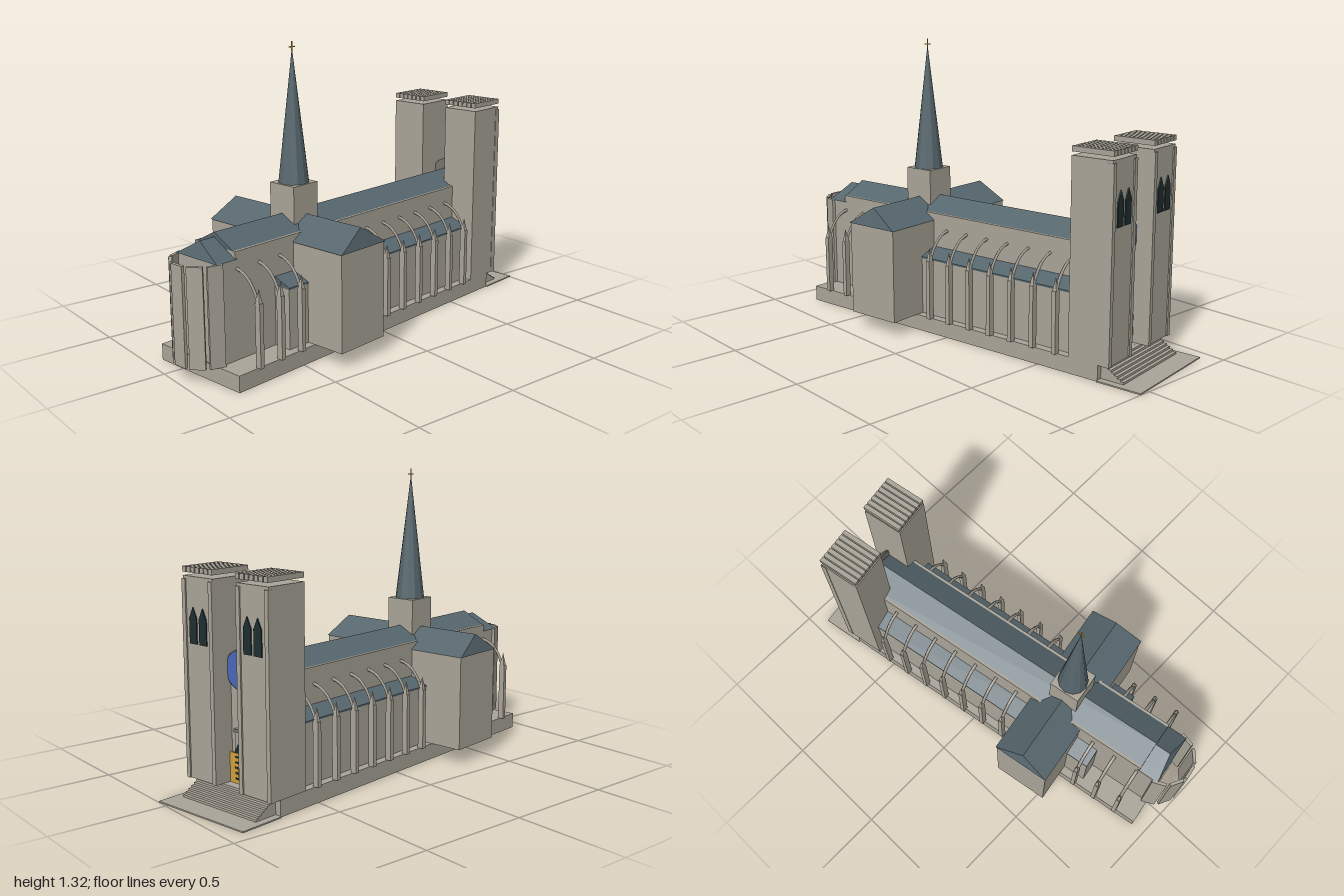
import * as THREE from 'three';

const mat = (name, color) => Object.assign(new THREE.MeshStandardMaterial({ color }), { name });

export function createModel() {
  const root = new THREE.Group();
  root.name = 'cathedral';
  const church = new THREE.Group();
  church.name = 'church';
  church.rotation.y = 0.16;
  church.position.set(-0.006, 0, -0.0375);
  root.add(church);

  const stone = mat('stone', 0xa9a498);
  const slate = mat('slate', 0x56666d);
  const gold = mat('gold', 0xd0a03c);
  const glass = mat('blue glass', 0x4a68b8);
  const dark = mat('dark opening', 0x1f2f30);
  const trim = mat('window trim', 0x77736b);

  const add = (name, geo, material, x = 0, y = 0, z = 0) => {
    const m = new THREE.Mesh(geo, material);
    m.name = name;
    m.position.set(x, y, z);
    church.add(m);
    return m;
  };
  // Box given by its lower and upper bounds on each axis
  const box = (name, material, x0, x1, y0, y1, z0, z1) =>
    add(name, new THREE.BoxGeometry(x1 - x0, y1 - y0, z1 - z0), material,
      (x0 + x1) / 2, (y0 + y1) / 2, (z0 + z1) / 2);

  // Pitched roof along x with ends hipped by the given insets
  const pitchedRoof = (x0, x1, half, eave, ridge, in0, in1) => {
    const a = [x0, eave, half], b = [x1, eave, half], c = [x1, eave, -half], d = [x0, eave, -half];
    const e = [x0 + in0, ridge, 0], f = [x1 - in1, ridge, 0];
    const tris = [a, b, f, a, f, e, c, d, e, c, e, f, b, c, f, d, a, e, a, d, c, a, c, b];
    const g = new THREE.BufferGeometry();
    g.setAttribute('position', new THREE.Float32BufferAttribute(tris.flat(), 3));
    g.computeVertexNormals();
    return g;
  };
  // Thin pointed panel facing +x
  const lancet = (name, x, y, z, w, h, shoulder) => {
    const s = new THREE.Shape([[-w / 2, 0], [w / 2, 0], [w / 2, shoulder], [0, h], [-w / 2, shoulder]]
      .map(p => new THREE.Vector2(...p)));
    const m = add(name, new THREE.ExtrudeGeometry(s, { depth: 0.006, bevelEnabled: false }), dark, x, y, z);
    m.rotation.y = Math.PI / 2;
  };

  // Base, forecourt and stairs
  const floor = 0.072;
  box('base', stone, -0.9, 0.772, 0, floor, -0.243, 0.243);
  box('forecourt', stone, 0.772, 0.978, 0, 0.006, -0.25, 0.25);
  const steps = 7;
  for (let i = 0; i < steps; i++) {
    box('step', stone, 0.772, 0.79 + i * 0.015, 0.006 + (steps - 1 - i) * 0.0094,
      0.006 + (steps - i) * 0.0094, -0.217, 0.217);
  }

  // Nave, choir and transept
  box('nave', stone, -0.893, 0.735, floor, 0.5, -0.122, 0.122);
  box('upperWall', stone, -0.8, 0.735, 0.5, 0.532, -0.122, 0.122);
  add('naveRoof', pitchedRoof(-0.8, 0.745, 0.11, 0.532, 0.59, 0, 0), slate);
  add('apseRoof', pitchedRoof(-0.897, -0.79, 0.125, 0.5, 0.57, 0.022, 0), slate);
  box('transept', stone, -0.475, -0.212, floor, 0.5, -0.397, 0.397);
  const transeptRoof = add('transeptRoof', pitchedRoof(-0.402, 0.402, 0.136, 0.499, 0.585, 0.02, 0.02),
    slate, -0.344);
  transeptRoof.rotation.y = Math.PI / 2;

  // Wall panels around the apse
  for (let k = -2; k <= 2; k++) {
    const a = k * 0.63;
    const p = add('apsePanel', new THREE.BoxGeometry(0.014, 0.428, 0.066), stone,
      -0.865 - 0.126 * Math.cos(a), 0.286, 0.126 * Math.sin(a));
    p.rotation.y = a;
  }

  // Crossing tower, spire and cross
  box('crossingTower', stone, -0.42, -0.276, 0.45, 0.715, -0.072, 0.072);
  const spire = new THREE.ConeGeometry(0.068, 0.577, 12).toNonIndexed();
  spire.computeVertexNormals();
  add('spire', spire, slate, -0.348, 1.0035, 0);
  box('crossUpright', gold, -0.35, -0.346, 1.275, 1.318, -0.002, 0.002);
  box('crossArm', gold, -0.366, -0.33, 1.292, 1.296, -0.002, 0.002);

  // Sides: aisles and buttresses, mirrored
  const buttresses = [-0.79, -0.672, -0.555];
  for (let i = 0; i < 7; i++) buttresses.push(-0.13 + i * 0.1155);
  for (const s of [1, -1]) {
    const side = (name, m, x0, x1, y0, y1, z0, z1) =>
      box(name, m, x0, x1, y0, y1, Math.min(s * z0, s * z1), Math.max(s * z0, s * z1));

    for (const [x0, x1] of [[-0.585, -0.475], [-0.212, 0.632]]) {
      side('aisle', stone, x0, x1, floor, 0.335, 0.12, 0.205);
      const section = new THREE.Shape([[0.12, 0.335], [0.207, 0.335], [0.207, 0.342], [0.12, 0.375]]
        .map(([z, y]) => new THREE.Vector2(-s * z, y)));
      const roof = add('aisleRoof',
        new THREE.ExtrudeGeometry(section, { depth: x1 - x0, bevelEnabled: false }), slate, x0);
      roof.rotation.y = Math.PI / 2;
    }

    for (const x of buttresses) {
      side('buttressPier', stone, x - 0.01, x + 0.01, floor, 0.345, 0.232, 0.26);
      const cap = new THREE.ConeGeometry(0.0145, 0.06, 4).rotateY(Math.PI / 4).toNonIndexed();
      cap.computeVertexNormals();
      add('pinnacle', cap, stone, x, 0.375, s * 0.246);
      const curve = new THREE.QuadraticBezierCurve3(
        new THREE.Vector3(x, 0.46, s * 0.118),
        new THREE.Vector3(x, 0.45, s * 0.205),
        new THREE.Vector3(x, 0.34, s * 0.242));
      add('flyingButtress', new THREE.TubeGeometry(curve, 8, 0.008, 4), stone);
    }

    // Front tower with corner strips, roof slats and paired windows
    side('tower', stone, 0.63, 0.822, floor, 0.92, 0.069, 0.247);
    side('cornerStrip', stone, 0.8, 0.828, floor, 0.908, 0.069, 0.09);
    side('cornerStrip', stone, 0.8, 0.828, floor, 0.908, 0.228, 0.249);
    for (let i = 0; i < 7; i++) {
      const z = 0.067 + i * 0.0262;
      side('roofSlat', stone, 0.63, 0.825, 0.935, 0.958, z, z + 0.021);
    }
    for (const d of [-0.029, 0.029]) lancet('towerWindow', 0.821, 0.645, s * 0.158 + d, 0.043, 0.15, 0.105);

    // Door leaf with dark bands
    side('doorLeaf', gold, 0.742, 0.75, floor, 0.2, 0.018, 0.068);
    for (let i = 0; i < 5; i++) {
      const y = 0.088 + i * 0.023;
      side('doorBand', dark, 0.75, 0.752, y, y + 0.008, 0.018, 0.036);
    }
  }

  // Rose window and portal between the towers
  const rose = (name, r, x, m) => {
    add(name, new THREE.CylinderGeometry(r, r, 0.009, 40), m, x, 0.55, 0).rotation.z = Math.PI / 2;
  };
  rose('roseFrame', 0.085, 0.743, trim);
  rose('roseWindow', 0.079, 0.747, glass);
  box('portalFrame', stone, 0.735, 0.745, 0.19, 0.302, -0.042, 0.042);
  box('portalLintel', trim, 0.735, 0.752, 0.288, 0.302, -0.042, 0.042);
  lancet('portal', 0.741, floor, 0, 0.086, 0.21, 0.13);

  return root;
}
